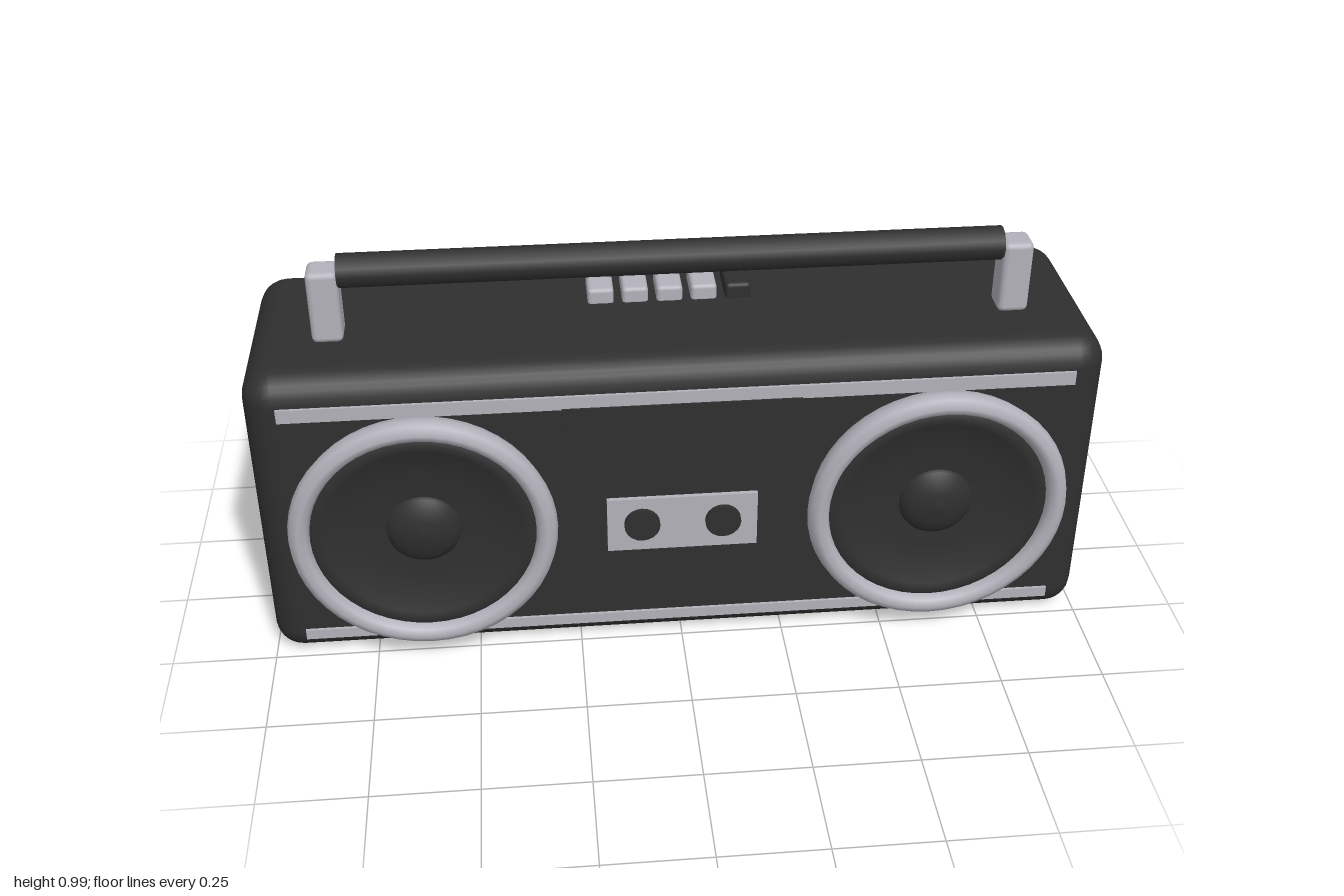
import * as THREE from 'three';
import { RoundedBoxGeometry } from 'three/addons/geometries/RoundedBoxGeometry.js';

export function createModel() {
  const model = new THREE.Group();
  model.name = 'portableStereo';
  const dark = new THREE.MeshStandardMaterial({ name: 'charcoal plastic', color: 0x2f2f2f });
  const silver = new THREE.MeshStandardMaterial({ name: 'silver', color: 0xb3b2bb });

  const add = (name, geometry, material, x, y, z, parent = model) => {
    const mesh = new THREE.Mesh(geometry, material);
    mesh.name = name;
    mesh.position.set(x, y, z);
    parent.add(mesh);
    return mesh;
  };
  const rounded = (w, h, d, r, s = 2) => new RoundedBoxGeometry(w, h, d, s, r);
  const box = (w, h, d) => new THREE.BoxGeometry(w, h, d);
  // Rod lying along x
  const rod = (r, length, sides) => new THREE.CylinderGeometry(r, r, length, sides).rotateZ(Math.PI / 2);
  // Profile of [radius, depth] pairs turned around the z axis
  const turned = (points) => new THREE.LatheGeometry(
    points.map(([r, d]) => new THREE.Vector2(r, d)), 48).rotateX(Math.PI / 2);

  // Case
  const front = 0.246;
  add('case', rounded(2, 0.78, 0.556, 0.07, 3), dark, 0, 0.39, -0.032);

  // Trim strips and display window
  add('upperTrim', box(1.84, 0.034, 0.008), silver, 0, 0.694, front + 0.003);
  add('lowerTrim', box(1.84, 0.027, 0.008), silver, 0, 0.067, front + 0.003);
  add('display', box(0.556, 0.09, 0.02), dark, 0, 0.635, front + 0.002);

  // Cassette door with two reels
  add('cassetteDoor', box(0.36, 0.147, 0.012), silver, 0, 0.347, front + 0.005);
  for (const x of [-0.097, 0.097]) {
    add('cassetteReel', new THREE.CylinderGeometry(0.043, 0.043, 0.024, 20).rotateX(Math.PI / 2),
      dark, x, 0.35, front + 0.01);
  }

  // Speakers: ring, recessed cone and dust cap
  const ring = turned([[0.302, -0.01], [0.308, 0.01], [0.315, 0.03], [0.309, 0.052],
    [0.29, 0.064], [0.272, 0.056], [0.264, 0.04], [0.262, 0]]);
  const cone = turned([[0.268, 0.034], [0.25, 0.043], [0.232, 0.038], [0.2, 0.025], [0.14, 0.012], [0, 0.006]]);
  const cap = turned([[0.09, 0.004], [0.086, 0.02], [0.068, 0.033], [0.038, 0.043], [0, 0.047]]);
  for (const side of [-1, 1]) {
    const speaker = new THREE.Group();
    speaker.name = side > 0 ? 'leftSpeaker' : 'rightSpeaker';
    speaker.position.set(side * 0.612, 0.371, front);
    model.add(speaker);
    add('speakerRing', ring, silver, 0, 0, 0, speaker);
    add('speakerCone', cone, dark, 0, 0, 0, speaker);
    add('speakerCap', cap, dark, 0, 0, 0, speaker);
  }
  for (const m of [dark, silver]) m.side = THREE.DoubleSide;

  // Carrying handle
  for (const side of [-1, 1]) {
    add('handlePost', rounded(0.073, 0.18, 0.077, 0.014), silver, side * 0.807, 0.867, 0.036);
  }
  add('handleBar', rod(0.04, 1.545, 12), dark, 0, 0.946, 0.036);

  // Row of keys, the last one dark
  for (let i = 0; i < 5; i++) {
    add(i < 4 ? 'key' : 'recordKey', rounded(0.063, 0.045, 0.12, 0.01),
      i < 4 ? silver : dark, -0.168 + i * 0.083, 0.795, -0.115);
  }

  // Folded aerial on its pivot
  add('aerialPivot', rounded(0.065, 0.04, 0.066, 0.014), dark, 0.777, 0.787, -0.243);
  add('aerialSleeve', rod(0.017, 0.12, 12), silver, 0.72, 0.802, -0.245);
  add('aerialRod', rod(0.011, 1.5, 10), silver, -0.08, 0.804, -0.245);

  return model;
}
